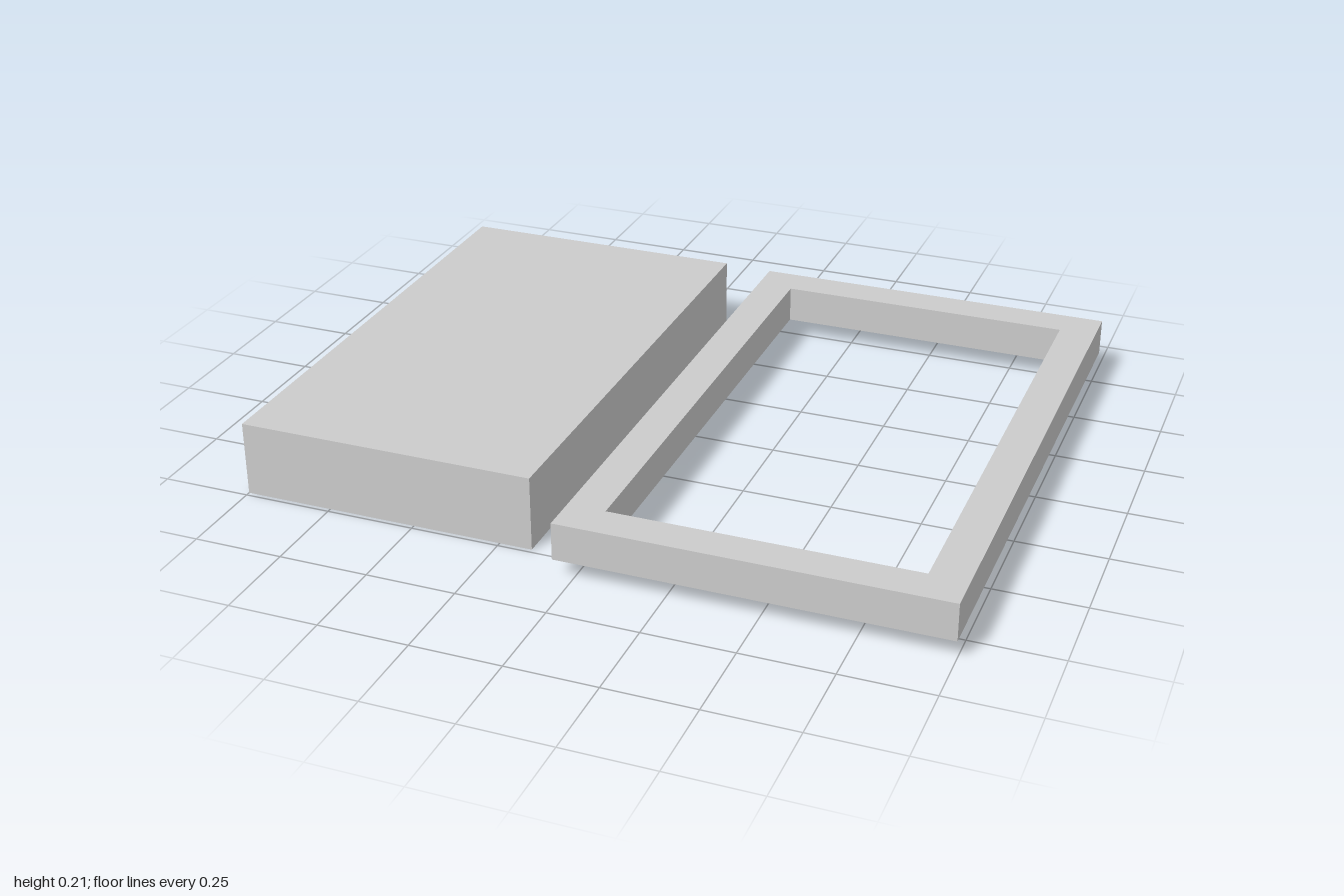
import * as THREE from 'three';

// The longest side spans 19 equal modules
const U = 2 / 19;

// Adds a closed rectangle, centred on the origin, to a shape or path
function rectangle(path, width, length) {
  const x = width / 2, y = length / 2;
  path.moveTo(-x, -y).lineTo(x, -y).lineTo(x, y).lineTo(-x, y).closePath();
  return path;
}

export function createModel() {
  const group = new THREE.Group();
  group.name = 'blockAndFrame';
  const material = new THREE.MeshStandardMaterial({ color: 0xcccccc, flatShading: true });

  // Solid block resting on the ground
  const block = new THREE.Mesh(new THREE.BoxGeometry(8 * U, 2 * U, 14 * U), material);
  block.name = 'block';
  block.position.set(-1 + 4 * U, U, 0);
  group.add(block);

  // Rectangular frame, half as thick, level with the middle of the block
  const outline = rectangle(new THREE.Shape(), 10 * U, 16 * U);
  outline.holes.push(rectangle(new THREE.Path(), 8 * U, 14 * U));
  const frameGeometry = new THREE.ExtrudeGeometry(outline, { depth: U, bevelEnabled: false });
  frameGeometry.rotateX(-Math.PI / 2);
  const frame = new THREE.Mesh(frameGeometry, material);
  frame.name = 'frame';
  frame.position.set(1 - 5 * U, U / 2, 0);
  group.add(frame);

  return group;
}
